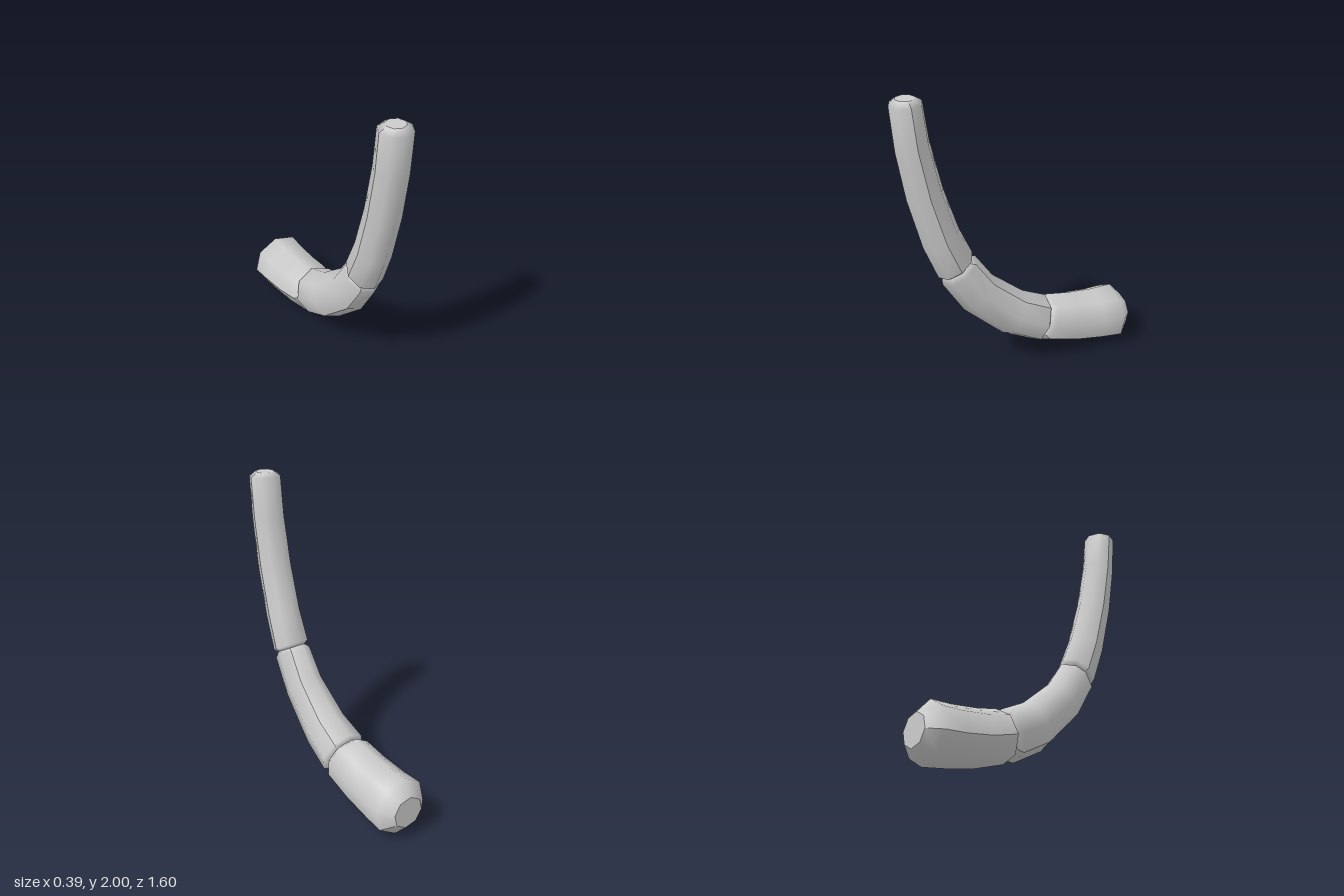
import * as THREE from 'three';

const SIDES = 8;

// One bevelled tube segment. Each ring: [outer z, outer y, inner z, inner y, half width in x].
// Creases run lengthwise at the given corners; the shell is smooth between them.
function tubeSegment(name, rings, phase, creases) {
  const positions = [], indices = [];
  const add = (r, j) => {
    const [oz, oy, iz, iy, w] = r;
    const t = THREE.MathUtils.degToRad(phase) + (j / SIDES) * Math.PI * 2;
    const s = Math.sin(t);
    positions.push(
      w * Math.cos(t),
      (oy + iy) / 2 + (s * (iy - oy)) / 2,
      (oz + iz) / 2 + (s * (iz - oz)) / 2
    );
    return positions.length / 3 - 1;
  };

  // shell, one strip between each pair of creases
  for (let k = 0; k + 1 < creases.length; k++) {
    const from = creases[k], to = creases[k + 1];
    const grid = rings.map((r) => {
      const row = [];
      for (let j = from; j <= to; j++) row.push(add(r, j));
      return row;
    });
    for (let i = 0; i + 1 < grid.length; i++) {
      for (let j = 0; j < to - from; j++) {
        const a = grid[i][j], b = grid[i][j + 1], c = grid[i + 1][j], d = grid[i + 1][j + 1];
        indices.push(a, c, b, b, c, d);
      }
    }
  }

  // flat end caps
  [rings[0], rings[rings.length - 1]].forEach((r, end) => {
    const cap = [];
    for (let j = 0; j < SIDES; j++) cap.push(add(r, j));
    for (let j = 1; j + 1 < SIDES; j++) {
      if (end) indices.push(cap[0], cap[j + 1], cap[j]);
      else indices.push(cap[0], cap[j], cap[j + 1]);
    }
  });

  const geometry = new THREE.BufferGeometry();
  geometry.setAttribute('position', new THREE.Float32BufferAttribute(positions, 3));
  geometry.setIndex(indices);
  geometry.computeVertexNormals();
  const mesh = new THREE.Mesh(geometry, new THREE.MeshStandardMaterial({ color: 0xcccccc }));
  mesh.name = name;
  return mesh;
}

export function createModel() {
  const group = new THREE.Group();
  group.name = 'curvedTail';

  // slim upright tip
  group.add(tubeSegment('tipSegment', [
    [0.76, 2.0, 0.64, 2.0, 0.06],
    [0.80, 1.965, 0.60, 1.975, 0.105],
    [0.78, 1.69, 0.57, 1.73, 0.105],
    [0.73, 1.37, 0.5, 1.41, 0.107],
    [0.645, 1.03, 0.41, 1.12, 0.11],
    [0.555, 0.795, 0.325, 0.925, 0.117],
    [0.52, 0.79, 0.345, 0.89, 0.09],
  ], 0, [0, 4, 8]));

  // bent middle
  group.add(tubeSegment('middleSegment', [
    [0.52, 0.79, 0.345, 0.89, 0.09],
    [0.535, 0.745, 0.3, 0.885, 0.112],
    [0.395, 0.515, 0.185, 0.715, 0.122],
    [0.13, 0.26, -0.03, 0.535, 0.145],
    [-0.085, 0.145, -0.205, 0.45, 0.163],
    [-0.13, 0.17, -0.205, 0.41, 0.13],
  ], 50, [0, 4, 8]));

  // thick base
  group.add(tubeSegment('baseSegment', [
    [-0.13, 0.17, -0.205, 0.41, 0.13],
    [-0.15, 0.125, -0.25, 0.44, 0.168],
    [-0.36, 0.06, -0.4, 0.41, 0.177],
    [-0.57, 0.02, -0.58, 0.39, 0.186],
    [-0.72, 0.0, -0.72, 0.387, 0.195],
    [-0.8, 0.085, -0.8, 0.295, 0.11],
  ], -36, [0, 5, 8]));

  return group;
}
